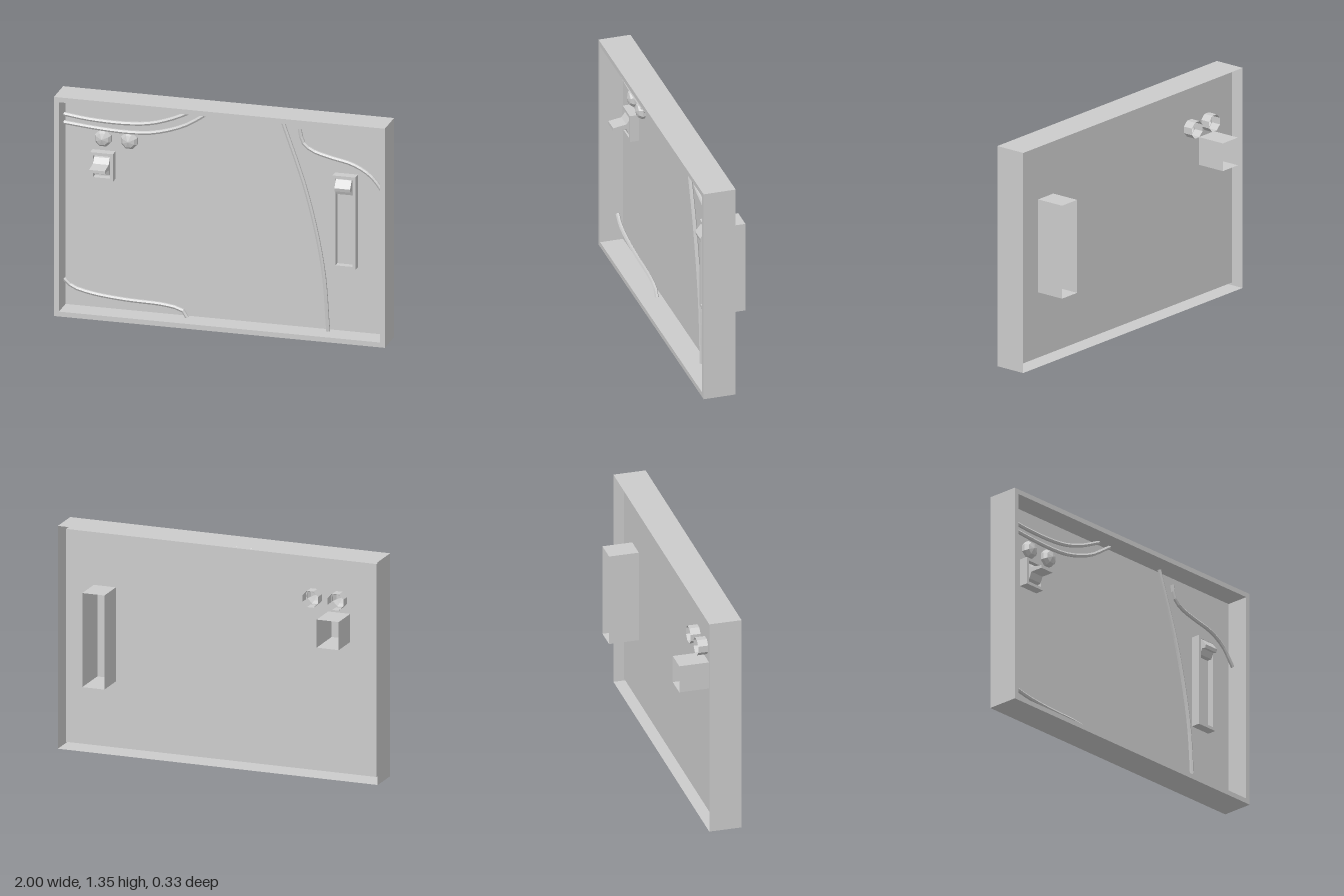
import * as THREE from 'three';

const material = new THREE.MeshStandardMaterial({
  color: 0xcccccc, flatShading: true, side: THREE.DoubleSide,
});
const PANEL_Z = 0.015;

function part(name, geometry, parent) {
  const mesh = new THREE.Mesh(geometry, material);
  mesh.name = name;
  parent.add(mesh);
  return mesh;
}

// Sweeps a profile of [inset, z] points around a rectangle, as an open shell.
function rectSweep(x0, x1, y0, y1, profile) {
  const positions = [];
  const corners = ([i, z]) => [
    [x0 + i, y0 + i, z], [x1 - i, y0 + i, z], [x1 - i, y1 - i, z], [x0 + i, y1 - i, z],
  ];
  for (let p = 0; p < profile.length - 1; p++) {
    const a = corners(profile[p]);
    const b = corners(profile[p + 1]);
    for (let k = 0; k < 4; k++) {
      const n = (k + 1) % 4;
      positions.push(...a[k], ...a[n], ...b[n], ...a[k], ...b[n], ...b[k]);
    }
  }
  const geometry = new THREE.BufferGeometry();
  geometry.setAttribute('position', new THREE.Float32BufferAttribute(positions, 3));
  geometry.computeVertexNormals();
  return geometry;
}

function rectPath(PathType, x0, x1, y0, y1) {
  return new PathType([
    [x0, y0], [x1, y0], [x1, y1], [x0, y1],
  ].map(([x, y]) => new THREE.Vector2(x, y)));
}

// Side profile of [z, y] points, extruded across x.
function leverGeometry(cx, width, points) {
  const shape = new THREE.Shape(points.map(([z, y]) => new THREE.Vector2(z, y)));
  return new THREE.ExtrudeGeometry(shape, { depth: width, bevelEnabled: false })
    .rotateY(-Math.PI / 2)
    .translate(cx + width / 2, 0, 0);
}

export function createModel() {
  const model = new THREE.Group();
  model.name = 'switchPanel';

  // Outer frame, open at the back
  part('frame', rectSweep(-1, 1, 0, 1.35,
    [[0, -0.04], [0, 0.155], [0.03, 0.155], [0.03, PANEL_Z]]), model);

  const switches = [
    {
      name: 'smallSwitch', x: -0.737, y0: 0.83, y1: 1.0,
      lever: [[0.03, 0.975], [0.06, 0.97], [0.085, 0.937], [0.165, 0.925], [0.165, 0.907],
        [0.085, 0.907], [0.07, 0.87], [0.03, 0.858]],
    },
    {
      name: 'tallSwitch', x: 0.728, y0: 0.43, y1: 1.0,
      lever: [[0.03, 0.98], [0.07, 0.98], [0.105, 0.935], [0.1, 0.915], [0.075, 0.92],
        [0.06, 0.885], [0.03, 0.885]],
    },
  ];
  const knobs = [[-0.738, 1.08], [-0.58, 1.08]];
  const half = 0.069;

  // Recessed panel, cut out where the switches and knobs pass through
  const panel = rectPath(THREE.Shape, -0.97, 0.97, 0.03, 1.32);
  for (const s of switches) {
    panel.holes.push(rectPath(THREE.Path, s.x - half, s.x + half, s.y0, s.y1));
  }
  for (const [x, y] of knobs) {
    const hole = new THREE.Path();
    hole.absarc(x, y, 0.047, 0, Math.PI * 2);
    panel.holes.push(hole);
  }
  part('panel', new THREE.ShapeGeometry(panel, 8).translate(0, 0, PANEL_Z), model);

  // Switches: housing with raised bezel, slot floor and lever
  for (const s of switches) {
    const group = new THREE.Group();
    group.name = s.name;
    model.add(group);
    const x0 = s.x - half;
    const x1 = s.x + half;
    part('housing', rectSweep(x0, x1, s.y0, s.y1,
      [[0, -0.165], [0, 0.07], [0.018, 0.07], [0.018, 0.03]]), group);
    const floor = rectPath(THREE.Shape, x0 + 0.018, x1 - 0.018, s.y0 + 0.018, s.y1 - 0.018);
    part('slotFloor', new THREE.ShapeGeometry(floor).translate(0, 0, 0.03), group);
    part('lever', leverGeometry(s.x, 0.095, s.lever), group);
  }

  // Eight-sided domed knobs, hollow at the back
  const knobProfile = [[0.053, -0.045], [0.053, 0.035], [0.038, 0.055], [0, 0.066]]
    .map(([r, z]) => new THREE.Vector2(r, z));
  for (const [x, y] of knobs) {
    part('knob', new THREE.LatheGeometry(knobProfile, 8, Math.PI / 8)
      .rotateX(Math.PI / 2).translate(x, y, 0), model);
  }

  // Cables running in front of the panel
  const cables = {
    upperCable: [[-0.97, 1.213], [-0.82, 1.195], [-0.6, 1.19], [-0.45, 1.205], [-0.32, 1.245],
      [-0.17, 1.315]],
    lowerCable: [[-0.97, 1.162], [-0.75, 1.143], [-0.56, 1.138], [-0.42, 1.152],
      [-0.24, 1.212], [-0.08, 1.315]],
    longCable: [[0.345, 1.315], [0.5, 0.86], [0.595, 0.42], [0.627, 0.03]],
    sideCable: [[0.455, 1.255], [0.475, 1.18], [0.53, 1.135], [0.65, 1.1], [0.78, 1.07],
      [0.885, 1.01], [0.97, 0.905]],
    bottomCable: [[-0.97, 0.2], [-0.92, 0.157], [-0.8, 0.125], [-0.6, 0.105], [-0.35, 0.095],
      [-0.25, 0.07], [-0.225, 0.03]],
  };
  for (const [name, points] of Object.entries(cables)) {
    const curve = new THREE.CatmullRomCurve3(
      points.map(([x, y]) => new THREE.Vector3(x, y, 0.048)));
    part(name, new THREE.TubeGeometry(curve, 16, 0.012, 6), model);
  }

  return model;
}
